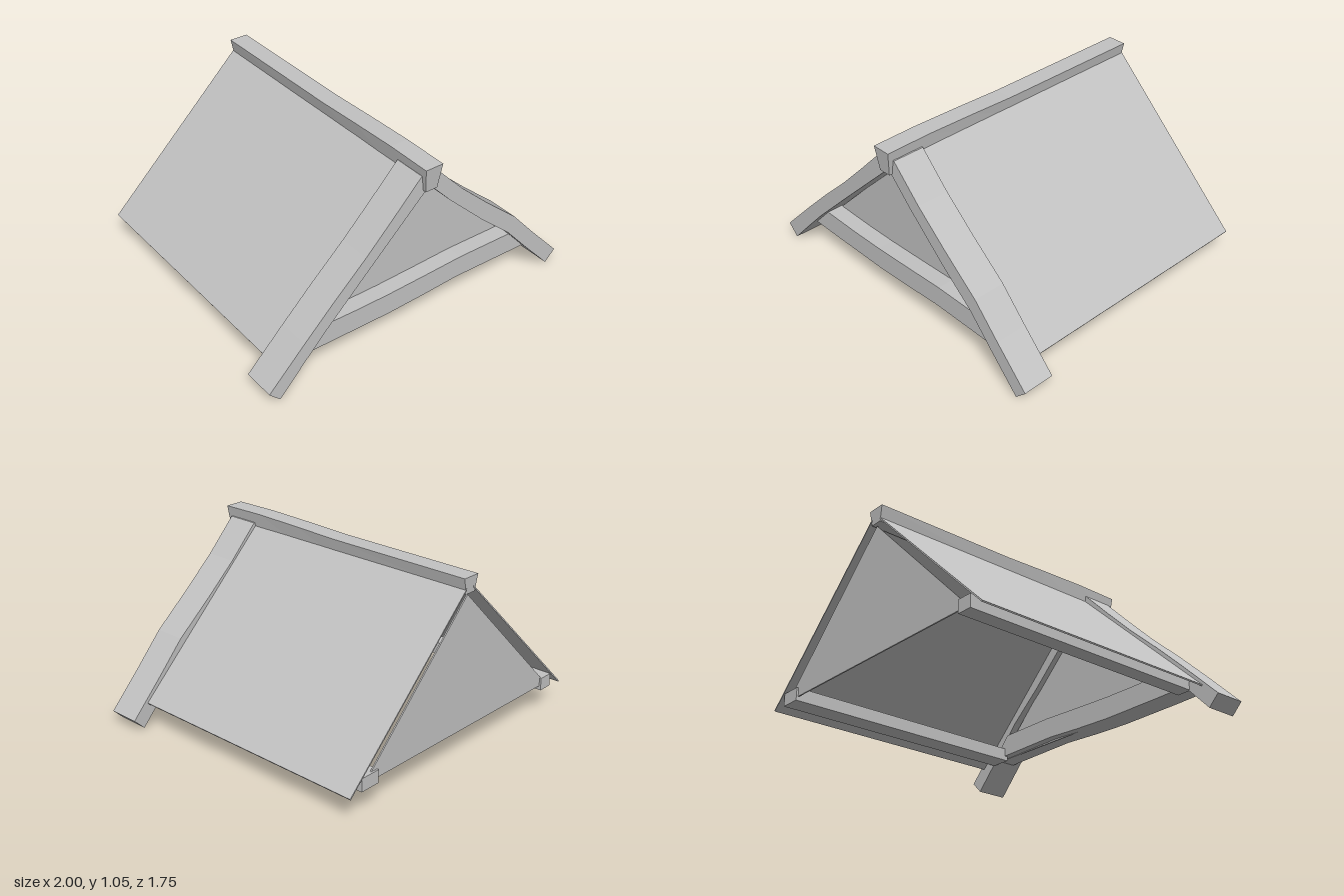
import * as THREE from 'three';

const stone = new THREE.MeshStandardMaterial({ color: 0xc2c2c2, flatShading: true, side: THREE.DoubleSide });
stone.name = 'plain grey';

function add(group, name, geometry) {
  const mesh = new THREE.Mesh(geometry, stone);
  mesh.name = name;
  group.add(mesh);
  return mesh;
}

// Outline in the XY plane, extruded from z0 to z1
function slab(points, z0, z1) {
  const shape = new THREE.Shape(points.map(([x, y]) => new THREE.Vector2(x, y)));
  return new THREE.ExtrudeGeometry(shape, { depth: z1 - z0, bevelEnabled: false }).translate(0, 0, z0);
}

// Closed bar through four-cornered sections, listed front to back
function loft(rings) {
  const index = [0, 1, 2, 0, 2, 3];
  for (let i = 0; i < rings.length - 1; i++) {
    for (let j = 0; j < 4; j++) {
      const a = i * 4 + j, b = i * 4 + (j + 1) % 4;
      index.push(a, a + 4, b, b, a + 4, b + 4);
    }
  }
  const e = (rings.length - 1) * 4;
  index.push(e, e + 2, e + 1, e, e + 3, e + 2);
  const geometry = new THREE.BufferGeometry();
  geometry.setAttribute('position', new THREE.Float32BufferAttribute(rings.flat(2), 3));
  geometry.setIndex(index);
  const flat = geometry.toNonIndexed();
  flat.computeVertexNormals();
  return flat;
}

export function createModel() {
  const group = new THREE.Group();
  group.name = 'gableRoof';

  // Tapered ridge beam with a slight sag; its front face leans back downward
  const sections = [
    // z top, z bottom, top y, bottom y
    [0.875, 0.86, 1.052, 0.91],
    [0.6, 0.6, 1.056, 0.92],
    [0.3, 0.3, 1.05, 0.935],
    [0.03, 0.03, 1.042, 0.94],
    [-0.875, -0.87, 1.042, 0.95],
  ];
  add(group, 'ridgeBeam', loft(sections.map(([zt, zb, top, bottom]) => [
    [-0.042, bottom, zb], [0.032, bottom, zb], [0.05, top, zt], [-0.06, top, zt],
  ])));

  // Hand-hewn rake boards over the front edge
  add(group, 'rightRakeBoard', slab([
    [-1, 0.07], [-0.935, 0.005], [-0.78, 0.17], [-0.66, 0.295], [-0.4, 0.545], [-0.2, 0.735], [0, 0.925],
    [0, 1], [-0.055, 1], [-0.23, 0.82], [-0.4, 0.65], [-0.6, 0.465], [-0.78, 0.29],
  ], 0.65, 0.84));
  add(group, 'leftRakeBoard', slab([
    [1, 0.07], [0.935, 0.005], [0.76, 0.19], [0.6, 0.365], [0.4, 0.535], [0.15, 0.77], [0, 0.925],
    [0, 1], [0.05, 0.995], [0.23, 0.81], [0.42, 0.64], [0.64, 0.455], [0.8, 0.28],
  ], 0.65, 0.84));

  // Wavy tie beam across the front
  add(group, 'frontTieBeam', slab([
    [-0.79, 0.17], [-0.6, 0.165], [-0.2, 0.16], [0.05, 0.168], [0.27, 0.18], [0.78, 0.17],
    [0.66, 0.3], [0.3, 0.306], [0.05, 0.297], [-0.2, 0.29], [-0.4, 0.29], [-0.66, 0.297],
  ], 0.64, 0.79));

  // Thin gable walls, set in below the roof
  for (const [name, z] of [['frontGableWall', 0.69], ['backGableWall', -0.855]]) {
    add(group, name, slab([[-0.78, 0.17], [0.78, 0.17], [0, 0.94]], z - 0.004, z + 0.004));
  }

  for (const [side, s] of [['left', 1], ['right', -1]]) {
    // Roof sheet
    add(group, side + 'RoofSheet', slab([
      [s * 0.03, 0.984], [s * 0.9, 0.147], [s * 0.896, 0.14], [s * 0.03, 0.974],
    ], -0.875, 0.7));
    // Eaves beam
    const inner = s > 0 ? 0.685 : 0.72;
    const beam = add(group, side + 'EavesBeam', new THREE.BoxGeometry(0.81 - inner, 0.075, 1.53));
    beam.position.set(s * (0.81 + inner) / 2, 0.1825, -0.105);
  }
  return group;
}
